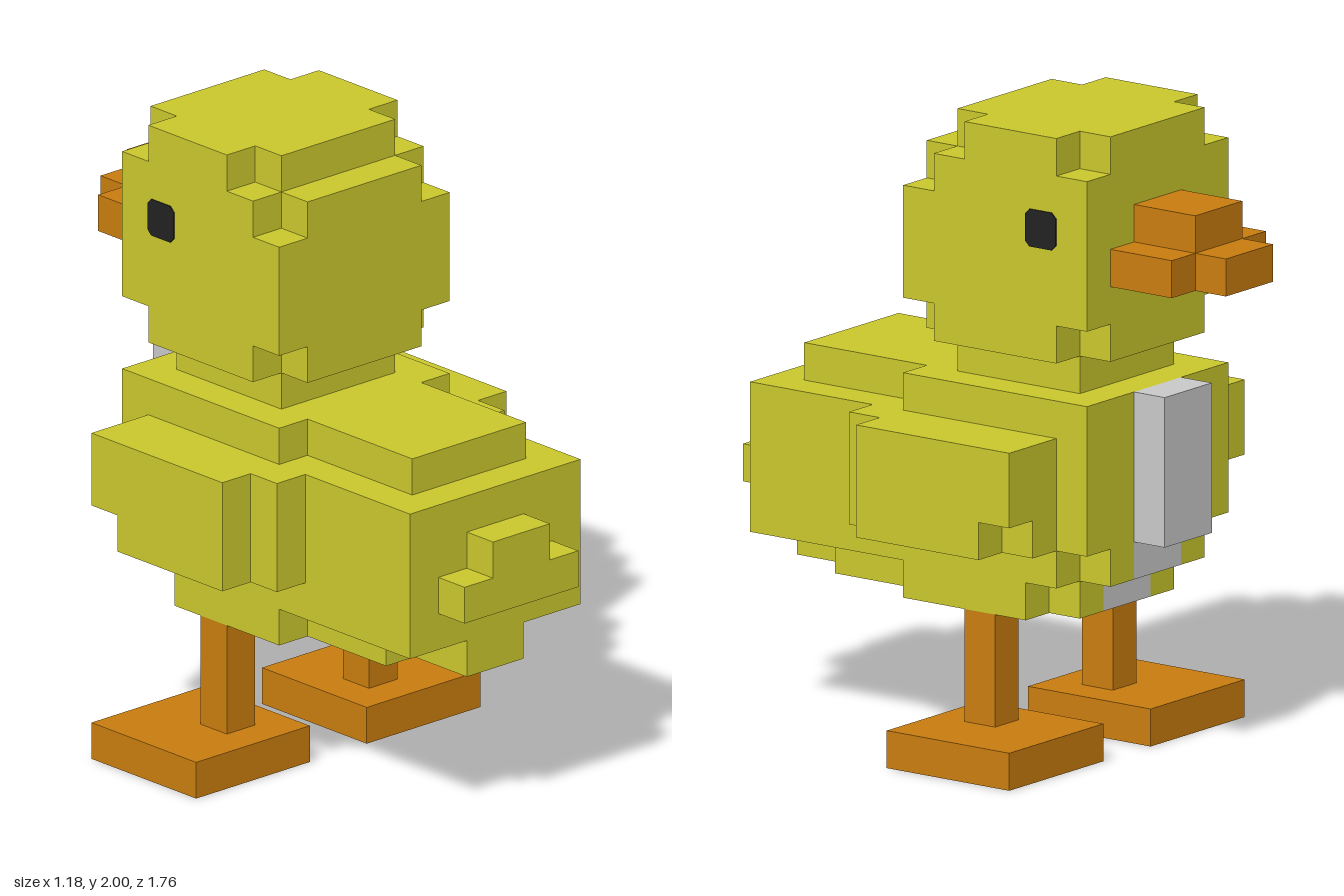
import * as THREE from 'three';
import { mergeGeometries } from 'three/addons/utils/BufferGeometryUtils.js';

// Everything sits on a grid of cubes, 17 cubes tall.
const U = 2 / 17;

const material = (name, color) => {
  const m = new THREE.MeshStandardMaterial({ color });
  m.name = name;
  return m;
};

// Box from its limits in cubes: [x0, x1, y0, y1, z0, z1]
function block([x0, x1, y0, y1, z0, z1]) {
  const g = new THREE.BoxGeometry((x1 - x0) * U, (y1 - y0) * U, (z1 - z0) * U);
  return g.translate((x0 + x1) / 2 * U, (y0 + y1) / 2 * U, (z0 + z1) / 2 * U);
}

// Box centred on x = 0 with the given half width
const mid = (w, ...rest) => [-w, w, ...rest];

// A pair of boxes mirrored in x
const pair = (x0, x1, ...rest) => [[x0, x1, ...rest], [-x1, -x0, ...rest]];

export function createModel() {
  const yellow = material('yellow feathers', 0xcac82d);
  const orange = material('orange beak and legs', 0xc97d0f);
  const grey = material('grey chest', 0xc9c9c9);
  const black = material('black eyes', 0x222222);

  const model = new THREE.Group();
  model.name = 'duck';

  const add = (name, mat, boxes) => {
    const mesh = new THREE.Mesh(mergeGeometries(boxes.map(block)), mat);
    mesh.name = name;
    model.add(mesh);
  };

  // Head with nibbled corners, and neck
  add('head', yellow, [
    mid(2, 11, 12, -4.5, -3.5), mid(3, 11, 12, -3.5, 0.5), mid(2, 11, 12, 0.5, 1.5),
    mid(3, 12, 15, -4.5, 1.5),
    mid(3, 15, 16, -4.5, 0.5), mid(2, 15, 16, 0.5, 1.5),
    mid(2, 16, 17, -4.5, -3.5), mid(3, 16, 17, -3.5, -0.5), mid(2, 16, 17, -0.5, 0.5),
  ]);
  add('neck', yellow, [mid(2, 10, 11, -3.5, 0.5)]);

  // Body, back and stepped underside
  add('body', yellow, [
    mid(3, 9, 10, -4.5, 1.5), mid(2, 9, 10, 1.5, 5.5),
    mid(3, 6, 9, -4.5, 6.5),
    ...pair(1, 2, 5, 6, -4.5, -3.5), mid(3, 5, 6, -3.5, 6.5),
    ...pair(1, 2, 4, 5, -3.5, -2.5), ...pair(1, 3, 4, 5, -2.5, 0.5),
    mid(3, 4, 5, 0.5, 1.5), mid(2, 4, 5, 1.5, 4.5), mid(1, 4, 5, 4.5, 6.5),
  ]);
  add('tail', yellow, [mid(2, 6, 7, 6.5, 7.5), mid(1, 7, 8, 6.5, 7.5)]);

  // Grey bib running down the chest and under the belly
  add('chest', grey, [
    mid(1, 6, 10, -5.5, -4.5), mid(1, 5, 6, -4.5, -3.5), mid(1, 4, 5, -3.5, 0.5),
  ]);

  // Beak
  add('beak', orange, [
    mid(1, 14, 15, -6.5, -4.5), mid(2, 13, 14, -6.5, -4.5), mid(1, 13, 14, -7.5, -6.5),
  ]);

  // Eye outline: a square with clipped corners
  const a = 0.5 * U, b = 0.36 * U;
  const eyeShape = new THREE.Shape([
    [a, b], [b, a], [-b, a], [-a, b], [-a, -b], [-b, -a], [b, -a], [a, -b],
  ].map(([x, y]) => new THREE.Vector2(x, y)));
  const eyeGeometry = new THREE.ExtrudeGeometry(eyeShape, { depth: 0.004, bevelEnabled: false });

  for (const [side, s] of [['left', 1], ['right', -1]]) {
    const flip = ([x0, x1, ...rest]) => (s > 0 ? [x0, x1, ...rest] : [-x1, -x0, ...rest]);

    // Wing with a stepped back and a notch at the lower front corner
    add(side + 'Wing', yellow, [
      [3, 4, 6, 9, -3.5, 2.5], [4, 5, 7, 9, -3.5, 1.5], [4, 5, 6, 7, -2.5, 1.5],
    ].map(flip));

    add(side + 'Leg', orange, [flip([2, 3, 1, 4, -1.5, -0.5])]);
    add(side + 'Foot', orange, [flip([1, 5, 0, 1, -3.5, 0.5])]);

    const eye = new THREE.Mesh(eyeGeometry, black);
    eye.name = side + 'Eye';
    eye.position.set(s * 3 * U, 14.5 * U, -3 * U);
    eye.rotation.y = s * Math.PI / 2;
    model.add(eye);
  }

  return model;
}
